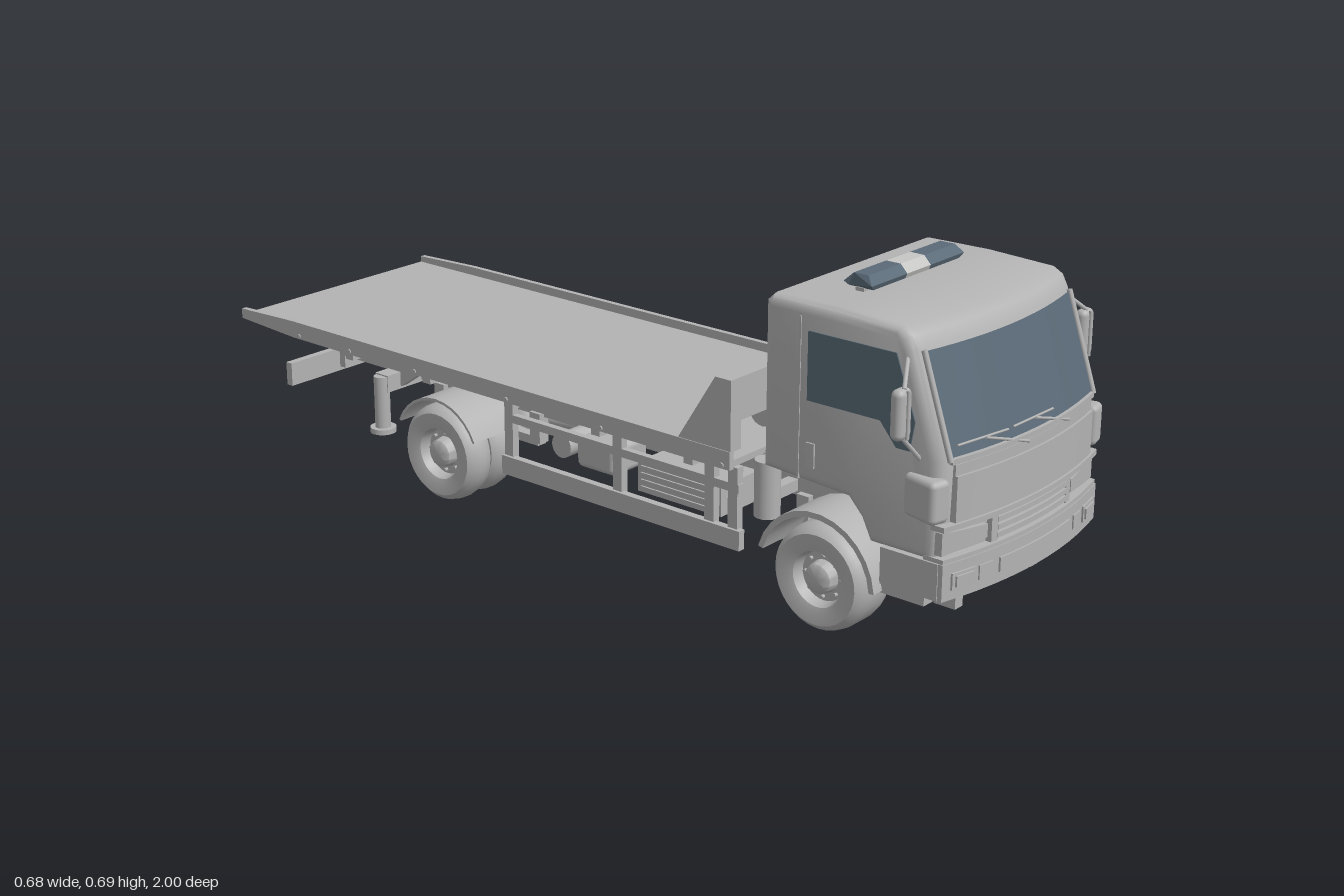
import * as THREE from 'three';
import { toCreasedNormals } from 'three/addons/utils/BufferGeometryUtils.js';
import { RoundedBoxGeometry } from 'three/addons/geometries/RoundedBoxGeometry.js';

export function createModel() {
  const truck = new THREE.Group();
  truck.name = 'flatbedTruck';
  const mat = (name, color) => {
    const m = new THREE.MeshStandardMaterial({ color });
    m.name = name;
    return m;
  };
  const grey = mat('body grey', 0xb3b3b3);
  const glass = mat('tinted glass', 0x5a6a77);
  const pale = mat('pale lens', 0xc6c6c4);

  const add = (name, geo, m = grey) => {
    const mesh = new THREE.Mesh(geo, m);
    mesh.name = name;
    truck.add(mesh);
    return mesh;
  };
  // Box from its limits on each axis
  const box = (name, x0, x1, y0, y1, z0, z1, m) =>
    add(name, new THREE.BoxGeometry(x1 - x0, y1 - y0, z1 - z0).translate((x0 + x1) / 2, (y0 + y1) / 2, (z0 + z1) / 2), m);
  // The same box on both sides
  const pair = (name, x0, x1, ...rest) => {
    box(name, x0, x1, ...rest);
    box(name, -x1, -x0, ...rest);
  };
  // Round bar between two points
  const strut = (name, a, b, r, m, sides = 8) => {
    const p = new THREE.Vector3(...a), q = new THREE.Vector3(...b);
    const mesh = add(name, new THREE.CylinderGeometry(r, r, p.distanceTo(q), sides), m);
    mesh.position.copy(p).lerp(q, 0.5);
    mesh.quaternion.setFromUnitVectors(new THREE.Vector3(0, 1, 0), q.sub(p).normalize());
    return mesh;
  };
  // Side profile of [z, y] points extruded across x
  const sideExtrude = (pts, x0, x1, bevel = 0, steps = 1) => {
    const shape = new THREE.Shape(pts.map(p => new THREE.Vector2(p[0], p[1])));
    const depth = x1 - x0 - 2 * bevel;
    return new THREE.ExtrudeGeometry(shape, {
      depth, steps, bevelEnabled: bevel > 0, bevelThickness: bevel,
      bevelSize: bevel, bevelOffset: -bevel, bevelSegments: 4,
    }).translate(0, 0, -depth / 2).rotateY(-Math.PI / 2).translate((x0 + x1) / 2, 0, 0);
  };
  // Bows the front of the cab backwards towards its corners
  const bend = geo => {
    const p = geo.attributes.position;
    for (let i = 0; i < p.count; i++) {
      const z = p.getZ(i), k = THREE.MathUtils.clamp((z - 0.62) / 0.3, 0, 1);
      p.setZ(i, z - 0.48 * k * p.getX(i) ** 2);
    }
    geo.computeVertexNormals();
    return geo;
  };
  const bowed = (name, x0, x1, y0, y1, z0, z1, m) =>
    add(name, bend(new THREE.BoxGeometry(x1 - x0, y1 - y0, z1 - z0, 12, 1, 1)
      .translate((x0 + x1) / 2, (y0 + y1) / 2, (z0 + z1) / 2)), m);

  // Cab shell
  const cab = sideExtrude([[0.53, 0.3], [0.53, 0.642], [0.545, 0.656], [0.7, 0.658], [0.87, 0.652], [0.895, 0.64],
    [0.91, 0.615], [0.98, 0.41], [0.975, 0.21], [0.81, 0.21], [0.785, 0.255], [0.75, 0.288]], -0.274, 0.274, 0.022, 12);
  add('cabShell', toCreasedNormals(bend(cab), 0.6));

  // Windscreen with its rim
  const screenZ = y => 0.98 - (y - 0.41) * 0.3415;
  const screenPatch = (name, x0, x1, y0, y1, lift, m) => {
    const geo = new THREE.PlaneGeometry(x1 - x0, y1 - y0, 12, 2).translate((x0 + x1) / 2, (y0 + y1) / 2, 0);
    const p = geo.attributes.position;
    for (let i = 0; i < p.count; i++) p.setZ(i, screenZ(p.getY(i)) + lift);
    add(name, bend(geo), m);
  };
  screenPatch('windscreen', -0.248, 0.248, 0.417, 0.61, 0.004, glass);
  bowed('windscreenSill', -0.25, 0.25, 0.404, 0.415, 0.96, 0.987);
  for (const s of [-1, 1])
    strut('windscreenPost', [s * 0.252, 0.41, 0.954], [s * 0.252, 0.613, 0.886], 0.006);
  // Wipers
  for (const x of [0.115, -0.038]) {
    strut('wiperArm', [x, 0.4, 0.988 - 0.48 * x * x], [x - 0.12, 0.436, 0.98 - 0.48 * (x - 0.12) ** 2], 0.003);
    strut('wiperBlade', [x - 0.195, 0.438, 0.98 - 0.48 * (x - 0.195) ** 2], [x - 0.057, 0.437, 0.98 - 0.48 * (x - 0.057) ** 2], 0.0025);
  }

  // Front panel, grille and headlights
  bowed('frontPanel', -0.24, 0.24, 0.288, 0.38, 0.96, 0.99);
  bowed('frontPanelTop', -0.24, 0.24, 0.38, 0.402, 0.96, 0.985);
  bowed('frontLedge', -0.272, 0.272, 0.276, 0.287, 0.95, 0.994);
  bowed('lowerLedge', -0.272, 0.272, 0.213, 0.222, 0.95, 0.994);
  for (const y of [0.227, 0.243, 0.259]) bowed('grilleBar', -0.122, 0.122, y, y + 0.011, 0.96, 0.989);
  for (const s of [-1, 1]) {
    const span = (a, b) => (s > 0 ? [a, b] : [-b, -a]);
    bowed('grilleEdge', ...span(0.122, 0.14), 0.222, 0.276, 0.96, 0.988);
    // Tapered lamp, taller towards the outside
    const lamp = new THREE.BoxGeometry(0.118, 0.046, 0.02, 8, 1, 1).translate(s * 0.208, 0.249, 0.976);
    const p = lamp.attributes.position;
    for (let i = 0; i < p.count; i++) {
      const t = THREE.MathUtils.clamp((Math.abs(p.getX(i)) - 0.149) / 0.118, 0, 1);
      p.setY(i, 0.249 + (p.getY(i) - 0.249) * (0.6 + 0.4 * t));
    }
    add('headlight', bend(lamp));
    // Corner deflector and bumper end
    const corner = add('cornerDeflector', new RoundedBoxGeometry(0.046, 0.086, 0.085, 2, 0.012));
    corner.position.set(s * 0.27, 0.337, 0.915);
    corner.rotation.y = s * 0.25;
    box('bumperEnd', ...span(0.235, 0.276), 0.138, 0.213, 0.82, 0.95);
    bowed('fogLampFrame', ...span(0.193, 0.253), 0.158, 0.192, 0.98, 1.0);
    bowed('fogLamp', ...span(0.2, 0.246), 0.164, 0.186, 0.99, 1.004);
    bowed('bumperInset', ...span(0.145, 0.182), 0.16, 0.19, 0.985, 0.999);
    box('cabStep', ...span(0.21, 0.272), 0.118, 0.145, 0.82, 0.92);
  }
  bowed('bumper', -0.274, 0.274, 0.138, 0.213, 0.9, 0.996);
  bowed('numberPlate', -0.125, 0.125, 0.16, 0.19, 0.985, 1.0);

  // Side windows, doors and mirrors
  const windowPts = [[0.64, 0.604], [0.64, 0.465], [0.81, 0.465], [0.848, 0.42], [0.878, 0.42], [0.888, 0.48], [0.842, 0.604]];
  for (const s of [-1, 1]) {
    const side = (name, pts, a, b, m) => add(name, sideExtrude(pts, ...(s > 0 ? [a, b] : [-b, -a])), m);
    side('sideWindow', windowPts, 0.27, 0.277, glass);
    side('doorHandle', [[0.64, 0.33], [0.66, 0.33], [0.66, 0.38], [0.64, 0.38]], 0.27, 0.278);
    side('doorSeam', [[0.618, 0.3], [0.622, 0.3], [0.622, 0.63], [0.618, 0.63]], 0.27, 0.276);
    const mirror = add('mirror', new RoundedBoxGeometry(0.042, 0.1, 0.028, 3, 0.013));
    mirror.position.set(s * 0.319, 0.507, 0.885);
    strut('mirrorArm', [s * 0.265, 0.602, 0.86], [s * 0.318, 0.555, 0.89], 0.0045);
    strut('mirrorArm', [s * 0.265, 0.402, 0.9], [s * 0.318, 0.46, 0.89], 0.0045);
    strut('mirrorStem', [s * 0.318, 0.46, 0.9], [s * 0.318, 0.555, 0.9], 0.004);
  }
  // Back of the cab
  box('rearWindowFrame', -0.132, 0.132, 0.515, 0.587, 0.526, 0.532);
  box('rearWindow', -0.124, 0.124, 0.522, 0.58, 0.524, 0.531, glass);
  box('rearRib', -0.25, 0.25, 0.44, 0.448, 0.525, 0.532);

  // Beacon bar with a pale middle
  const barPts = [[0.636, 0.664], [0.694, 0.664], [0.698, 0.674], [0.682, 0.691], [0.648, 0.691], [0.632, 0.674]];
  for (const [x0, x1, m] of [[-0.157, -0.04, glass], [-0.04, 0.04, pale], [0.04, 0.157, glass]]) {
    const geo = sideExtrude(barPts, x0, x1);
    const p = geo.attributes.position;
    for (let i = 0; i < p.count; i++)
      if (Math.abs(p.getX(i)) > 0.15 && Math.abs(p.getY(i) - 0.674) > 0.005) p.setX(i, p.getX(i) * 0.93);
    geo.computeVertexNormals();
    add('beacon', geo, m);
  }
  pair('beaconFoot', 0.1, 0.15, 0.65, 0.665, 0.655, 0.675);

  // Wheels, turned about the axle; twin tyres at the back
  const R = 0.11;
  const tyre = (s, z, x0, x1) => {
    const pts = [[0.05, x0], [0.07, x0 + 0.004], [0.094, x0], [R - 0.004, x0 + 0.012], [R, x0 + 0.03], [R, x1 - 0.03],
      [R - 0.004, x1 - 0.012], [0.094, x1], [0.07, x1 - 0.002], [0.058, x1 - 0.006], [0.052, x1 - 0.03], [0.034, x1 - 0.03],
      [0.03, x1 - 0.008], [0.022, x1 - 0.002], [0.0001, x1 - 0.002]].map(p => new THREE.Vector2(...p));
    const geo = toCreasedNormals(new THREE.LatheGeometry(pts, 32), 0.7).rotateZ(-Math.PI / 2);
    if (s < 0) geo.rotateY(Math.PI);
    add('wheel', geo.translate(0, R, z));
    for (let i = 0; i < 8; i++) {
      const a = i * Math.PI / 4, y = R + 0.043 * Math.sin(a), w = z + 0.043 * Math.cos(a);
      strut('wheelNut', [s * (x1 - 0.032), y, w], [s * (x1 - 0.022), y, w], 0.004, grey, 6);
    }
  };
  const arc = (z, r0, r1, a0, a1) => {
    const ring = (r, i) => {
      const a = THREE.MathUtils.degToRad(a0 + (a1 - a0) * i / 12);
      return [z + r * Math.cos(a), R + r * Math.sin(a)];
    };
    const n = [...Array(13).keys()];
    return [...n.map(i => ring(r1, i)), ...n.reverse().map(i => ring(r0, i))];
  };
  const FZ = 0.683, BZ = -0.357;
  for (const s of [-1, 1]) {
    const span = (a, b) => (s > 0 ? [a, b] : [-b, -a]);
    tyre(s, FZ, 0.185, 0.295);
    tyre(s, BZ, 0.148, 0.22);
    tyre(s, BZ, 0.224, 0.296);
    add('frontFender', toCreasedNormals(sideExtrude(arc(FZ, 0.13, 0.142, 5, 165), ...span(0.18, 0.299)), 0.6));
    add('rearFender', toCreasedNormals(sideExtrude(arc(BZ, 0.124, 0.13, 25, 155), ...span(0.148, 0.296)), 0.6));
    strut('springPerch', [s * 0.13, R, BZ], [s * 0.13, 0.21, BZ], 0.02);
  }

  // Axles and drive line
  box('frontAxle', -0.19, 0.19, 0.08, 0.108, FZ - 0.02, FZ + 0.02);
  strut('rearAxle', [-0.2, R, BZ], [0.2, R, BZ], 0.024, grey, 16);
  add('differential', new THREE.SphereGeometry(0.045, 16, 12).translate(0, R, BZ));
  strut('driveShaft', [0, 0.12, BZ], [0, 0.18, 0.45], 0.012);
  box('engine', -0.08, 0.08, 0.11, 0.29, 0.5, 0.85);

  // Chassis
  pair('chassisRail', 0.1, 0.125, 0.19, 0.25, -0.85, 0.93);
  pair('subframeRail', 0.1, 0.14, 0.25, 0.287, -0.75, 0.46);
  for (const z of [-0.8, -0.6, -0.15, 0.1, 0.3, 0.48]) box('crossMember', -0.1, 0.1, 0.2, 0.245, z - 0.015, z + 0.015);
  for (const z of [-0.65, -0.4, -0.15, 0.1, 0.35]) box('bedBearer', -0.28, 0.28, 0.262, 0.285, z - 0.012, z + 0.012);
  pair('frontHanger', 0.122, 0.148, 0.065, 0.14, 0.86, 0.91);
  for (const z of [FZ, BZ]) pair('leafSpring', 0.115, 0.14, 0.125, 0.145, z - 0.16, z + 0.16);
  for (const z of [FZ, BZ]) for (const d of [-0.15, 0.15]) pair('springHanger', 0.112, 0.14, 0.13, 0.2, z + d - 0.015, z + d + 0.015);

  // Air tanks and box behind the cab
  for (const s of [-1, 1]) strut('airFilter', [s * 0.21, 0.17, 0.498], [s * 0.21, 0.29, 0.498], 0.027, grey, 20);
  box('centreBox', -0.07, 0.07, 0.19, 0.29, 0.485, 0.52);
  pair('airFilterBracket', 0.1, 0.2, 0.2, 0.225, 0.485, 0.51);

  // Side guards and equipment
  pair('sideGuard', 0.27, 0.287, 0.113, 0.155, -0.165, 0.488);
  for (const z of [0.465, 0.405, 0.16, -0.15]) pair('guardPost', 0.262, 0.28, 0.113, 0.285, z - 0.012, z + 0.012);
  pair('guardUpperRail', 0.265, 0.28, 0.232, 0.25, -0.16, 0.48);
  box('batteryBox', -0.26, -0.14, 0.16, 0.225, 0.2, 0.42);
  for (let i = 0; i < 4; i++) box('batteryBoxSlat', -0.264, -0.26, 0.165 + i * 0.015, 0.174 + i * 0.015, 0.21, 0.41);
  for (const s of [-1, 1]) {
    const tank = add('fuelTank', new RoundedBoxGeometry(0.11, 0.068, 0.11, 3, 0.015));
    tank.position.set(s * 0.2, 0.2, 0.075);
    strut('airTank', [s * 0.14, 0.205, -0.015], [s * 0.26, 0.205, -0.015], 0.027, grey, 20);
  }

  // Flat bed with low side lips
  const lip = [[-1, 0.293], [-0.82, 0.283], [0.47, 0.283], [0.47, 0.322], [-0.82, 0.322], [-1, 0.316]];
  box('bedFloor', -0.285, 0.285, 0.288, 0.302, -1, 0.47);
  for (const s of [-1, 1]) {
    const span = (a, b) => (s > 0 ? [a, b] : [-b, -a]);
    add('bedLip', sideExtrude(lip, ...span(0.284, 0.297)));
    for (const z of [0.45, 0.13, -0.14, -0.42, -0.63, -0.8]) strut('bedBolt', [s * 0.295, 0.29, z], [s * 0.3, 0.29, z], 0.006);
    // Headboard wings
    add('headboardWing', sideExtrude([[0.335, 0.32], [0.47, 0.32], [0.47, 0.47], [0.43, 0.47]], ...span(0.262, 0.295)));
    // Stabiliser legs
    strut('stabiliserLeg', [s * 0.23, 0.1, -0.6], [s * 0.23, 0.222, -0.6], 0.018, grey, 16);
    strut('stabiliserFoot', [s * 0.23, 0.088, -0.6], [s * 0.23, 0.1, -0.6], 0.03, grey, 20);
    add('stabiliserBrace', sideExtrude([[-0.5, 0.245], [-0.62, 0.245], [-0.62, 0.19], [-0.58, 0.19]], ...span(0.17, 0.19)));
    // Rear lamps
    for (let i = 0; i < 3; i++) box('rearLamp', ...span(0.15 + i * 0.04, 0.183 + i * 0.04), 0.163, 0.192, -0.881, -0.876);
  }
  box('stabiliserBeam', -0.23, 0.23, 0.185, 0.225, -0.62, -0.58);
  add('headboard', sideExtrude([[0.425, 0.395], [0.47, 0.38], [0.47, 0.47], [0.432, 0.47]], -0.265, 0.265));
  box('rearBumper', -0.275, 0.275, 0.15, 0.205, -0.876, -0.858);
  pair('rearBumperBracket', 0.1, 0.125, 0.16, 0.245, -0.86, -0.84);

  // Winch
  strut('winchDrum', [-0.1, 0.338, 0.4], [0.1, 0.338, 0.4], 0.024, grey, 20);
  for (const x of [-0.1, -0.04, 0.04, 0.1]) strut('winchFlange', [x - 0.005, 0.338, 0.4], [x + 0.005, 0.338, 0.4], 0.032, grey, 20);
  pair('winchFoot', 0.034, 0.044, 0.3, 0.33, 0.345, 0.43);

  return truck;
}
